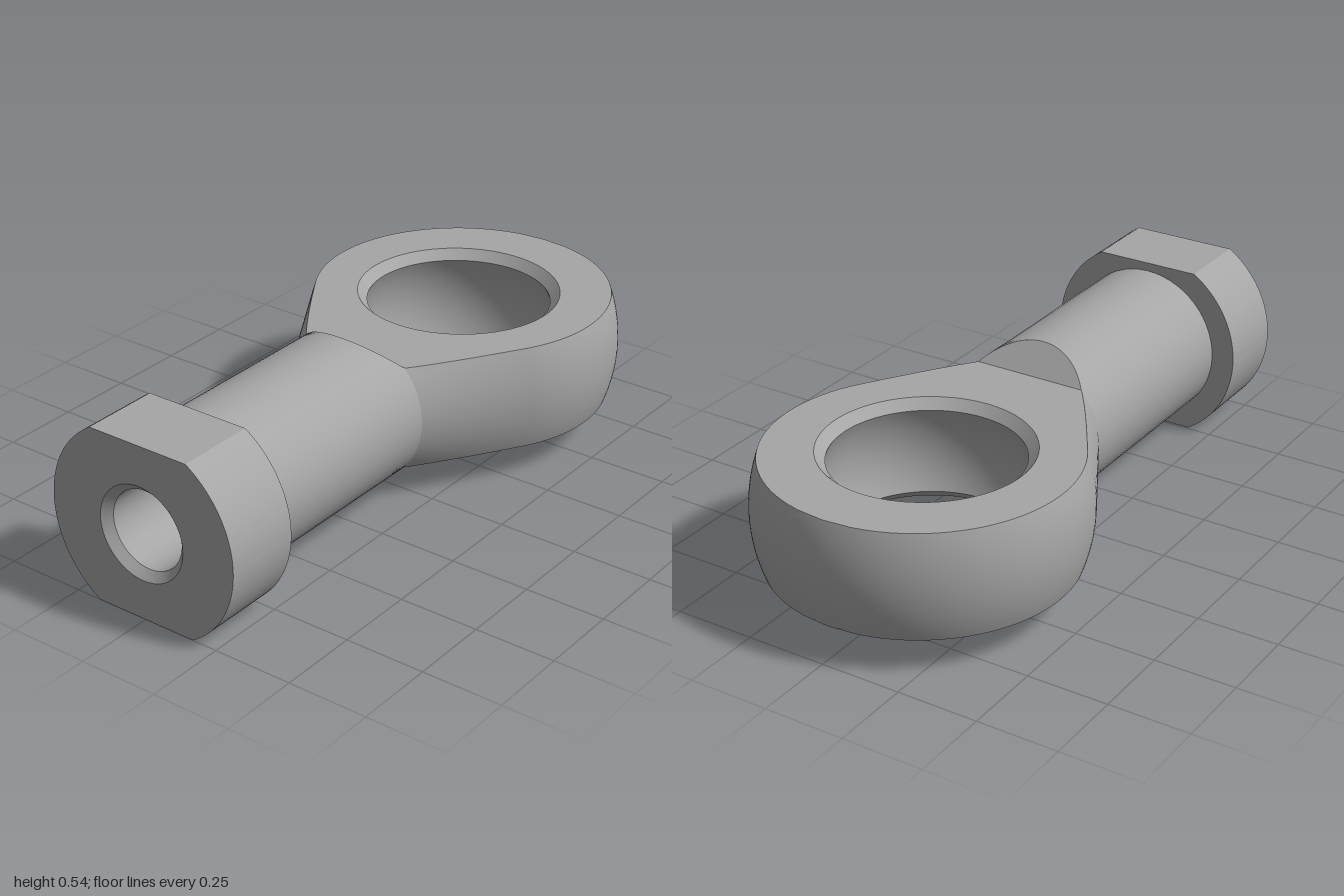
import * as THREE from 'three';
import { toCreasedNormals } from 'three/addons/utils/BufferGeometryUtils.js';

const EYE_Z = -0.51, EYE_R = 0.49;      // spherical eye
const HOLE_Z = -0.487;                  // bearing hole centre
const SHANK_R = 0.245, NECK_Z = 0.05, COLLAR_Z = 0.757;
const HALF = 0.165;                     // half thickness of the flattened eye
const AXIS_Y = 0.272;

// Surface from rows of [x, y, z] points, with optional matching normals
function grid(rows, normals) {
  const cols = rows[0].length, index = [];
  for (let i = 0; i < rows.length - 1; i++) {
    for (let j = 0; j < cols - 1; j++) {
      const a = i * cols + j, b = a + 1, c = a + cols, d = c + 1;
      index.push(a, b, c, b, d, c);
    }
  }
  const g = new THREE.BufferGeometry();
  g.setAttribute('position', new THREE.Float32BufferAttribute(rows.flat(2), 3));
  g.setIndex(index);
  if (normals) g.setAttribute('normal', new THREE.Float32BufferAttribute(normals.flat(2), 3));
  else g.computeVertexNormals();
  return g;
}

// Right-hand side of a turned body cut by flats; each section is { z, r, h, t }
// with h the flat's half height and t the angle of the profile normal
function sideLoft(sections, n = 28) {
  const rows = [], normals = [];
  for (const { z, r, h, t } of sections) {
    const a = r <= h ? Math.PI / 2 : Math.asin(h / r);
    const row = [], nor = [];
    for (let j = 0; j <= n; j++) {
      const q = -a + (2 * a * j) / n;
      row.push([r * Math.cos(q), r * Math.sin(q), z]);
      nor.push([Math.sin(t) * Math.cos(q), Math.sin(t) * Math.sin(q), -Math.cos(t)]);
    }
    rows.push(row);
    normals.push(nor);
  }
  return grid(rows, normals);
}

// Sphere, then the cone tangent to it that runs down to the shank
function eyeSections() {
  const d = NECK_Z - EYE_Z;
  const tangent = Math.atan2(SHANK_R, d) + Math.acos(EYE_R / Math.hypot(d, SHANK_R));
  const tEnd = Math.PI - tangent, tFlat = Math.asin(HALF / EYE_R);
  const list = [];
  const sphere = t => list.push({ z: EYE_Z - EYE_R * Math.cos(t), r: EYE_R * Math.sin(t), h: HALF, t });
  for (let i = 0; i < 6; i++) sphere((tFlat * i) / 6);
  for (let i = 0; i <= 36; i++) sphere(tFlat + ((tEnd - tFlat) * i) / 36);
  const { z, r } = list[list.length - 1];
  for (let i = 1; i <= 12; i++) {
    const k = i / 12;
    list.push({ z: z + (NECK_Z - z) * k, r: r + (SHANK_R - r) * k, h: HALF, t: tEnd });
  }
  return list;
}

// Cylinder whose top and bottom are bevelled at 45 degrees down to the eye
function bevelSections() {
  const a0 = Math.asin(HALF / SHANK_R), list = [];
  for (let i = 0; i <= 16; i++) {
    const h = SHANK_R * Math.sin(a0 + ((Math.PI / 2 - a0) * i) / 16);
    list.push({ z: NECK_Z + h - HALF, r: SHANK_R, h, t: Math.PI / 2 });
  }
  return list;
}

const halfWidth = s => Math.sqrt(Math.max(0, s.r * s.r - s.h * s.h));

// Flat face of the eye, with its round opening
function eyeFace(sections) {
  const edge = sections.slice(6).map(s => new THREE.Vector2(halfWidth(s), -s.z));
  const mirrored = edge.map(p => new THREE.Vector2(-p.x, p.y)).reverse();
  const shape = new THREE.Shape([...edge, ...mirrored.slice(0, -1)]);
  const hole = new THREE.Path();
  hole.absarc(0, -HOLE_Z, 0.315, 0, Math.PI * 2, true);
  shape.holes.push(hole);
  return new THREE.ShapeGeometry(shape, 36).rotateX(-Math.PI / 2).translate(0, HALF, 0);
}

// Inward-facing turned surface (profile runs downwards)
function bore(points) {
  const profile = points.map(p => new THREE.Vector2(p[0], p[1]));
  return toCreasedNormals(new THREE.LatheGeometry(profile, 72), 0.4);
}

function collarGeometry() {
  const b = Math.asin(AXIS_Y / 0.32);
  const shape = new THREE.Shape();
  shape.absarc(0, 0, 0.32, -b, b, false);
  shape.absarc(0, 0, 0.32, Math.PI - b, Math.PI + b, false);
  shape.closePath();
  const hole = new THREE.Path();
  hole.absarc(0, 0, 0.147, 0, Math.PI * 2, true);
  shape.holes.push(hole);
  const g = new THREE.ExtrudeGeometry(shape, { depth: 1 - COLLAR_Z, bevelEnabled: false, curveSegments: 36 });
  return toCreasedNormals(g.translate(0, 0, COLLAR_Z), 0.4);
}

export function createModel() {
  const steel = new THREE.MeshStandardMaterial({ color: 0xa6a6a6 });
  steel.name = 'steel grey';
  const model = new THREE.Group();
  model.name = 'rodEnd';

  const add = (name, geometry, turn = 0) => {
    const mesh = new THREE.Mesh(geometry, steel);
    mesh.name = name;
    mesh.position.y = AXIS_Y;
    mesh.rotation.z = turn;
    model.add(mesh);
    return mesh;
  };
  // The part and its copy turned half way round the long axis
  const addPair = (first, second, geometry) => {
    add(first, geometry);
    add(second, geometry, Math.PI);
  };

  // Eye and shank
  const eye = eyeSections(), bevel = bevelSections();
  const shank = [...bevel, { z: COLLAR_Z, r: SHANK_R, h: SHANK_R, t: Math.PI / 2 }];
  addPair('eyeSideLeft', 'eyeSideRight', sideLoft(eye));
  addPair('eyeFaceTop', 'eyeFaceBottom', eyeFace(eye));
  addPair('shankLeft', 'shankRight', sideLoft(shank));
  addPair('neckBevelTop', 'neckBevelBottom',
    grid(bevel.map(s => [[halfWidth(s), s.h, s.z], [-halfWidth(s), s.h, s.z]])));

  // Spherical bearing seat with chamfered rims
  const seat = [[0.315, HALF]];
  const rim = Math.atan2(0.135, 0.285), seatR = Math.hypot(0.135, 0.285);
  for (let i = 0; i <= 16; i++) {
    const q = rim - (2 * rim * i) / 16;
    seat.push([seatR * Math.cos(q), seatR * Math.sin(q)]);
  }
  seat.push([0.315, -HALF]);
  add('bearingSeat', bore(seat).translate(0, 0, HOLE_Z));

  // Collar with two wrench flats and a blind drilled hole
  add('collar', collarGeometry());
  add('drilledHole',
    bore([[0.147, 1], [0.122, 0.975], [0.122, 0.35], [0, 0.28]]).rotateX(Math.PI / 2));

  return model;
}
